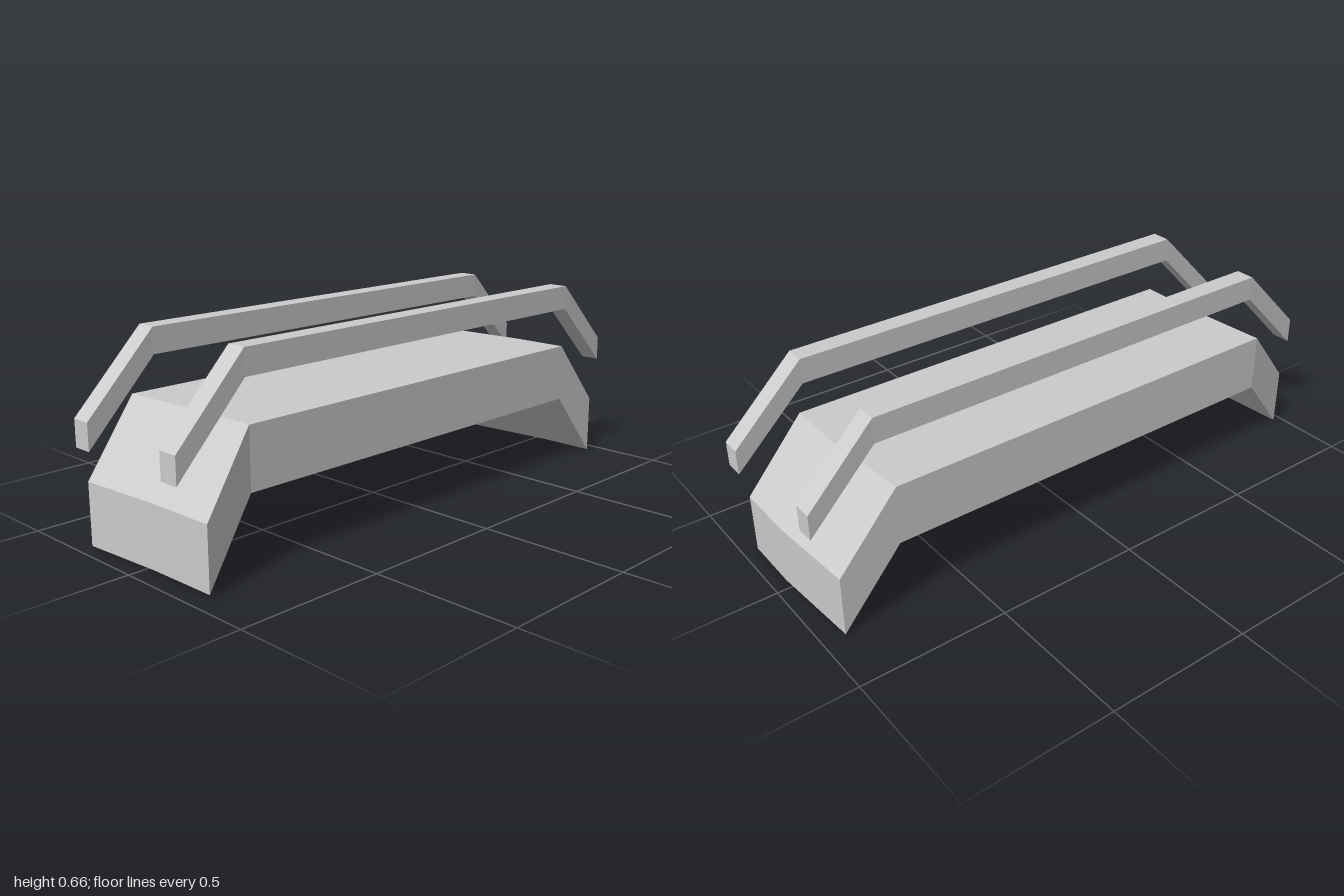
import * as THREE from 'three';

// Sweeps a strip along x. Each section is a list of columns running front to back,
// each column being [x, z, bottomY, topY].
function loft(name, sections, material) {
  const pos = [];
  const quad = (a, b, c, d) => [a, b, c, a, c, d].forEach(p => pos.push(...p));
  const rings = sections.map(cols => [
    ...cols.map(([x, z, , top]) => [x, top, z]),
    ...cols.slice().reverse().map(([x, z, bottom]) => [x, bottom, z]),
  ]);
  const n = rings[0].length;
  for (let i = 0; i < rings.length - 1; i++) {
    for (let j = 0; j < n; j++) {
      const k = (j + 1) % n;
      quad(rings[i][j], rings[i + 1][j], rings[i + 1][k], rings[i][k]);
    }
  }
  // end faces
  const first = rings[0], last = rings[rings.length - 1];
  for (let k = 0; k < n / 2 - 1; k++) {
    quad(first[k], first[k + 1], first[n - 2 - k], first[n - 1 - k]);
    quad(last[n - 1 - k], last[n - 2 - k], last[k + 1], last[k]);
  }
  const geometry = new THREE.BufferGeometry();
  geometry.setAttribute('position', new THREE.Float32BufferAttribute(pos, 3));
  geometry.computeVertexNormals();
  const mesh = new THREE.Mesh(geometry, material);
  mesh.name = name;
  return mesh;
}

export function createModel() {
  const model = new THREE.Group();
  model.name = 'bridge';
  const grey = new THREE.MeshStandardMaterial({ color: 0xcccccc, flatShading: true });

  // deck: flat span with a sloping ramp at each end, slightly skewed
  const deckSection = (y0, y1, points) => points.map(([x, z]) => [x, z, y0, y1]);
  model.add(loft('deck', [
    deckSection(0.008, 0.212, [[-0.935, 0.29], [-0.94, 0.04], [-0.96, -0.25]]),
    deckSection(0.24, 0.44, [[-0.74, 0.24], [-0.74, 0.04], [-0.763, -0.29]]),
    deckSection(0.24, 0.44, [[0.748, 0.24], [0.748, 0.04], [0.72, -0.29]]),
    deckSection(0, 0.205, [[0.95, 0.24], [0.95, 0.04], [0.925, -0.29]]),
  ], grey));

  // handrails: each section is [x, front z, back z, bottom y, top y]
  const rail = (name, rows) => model.add(loft(name,
    rows.map(([x, zf, zb, y0, y1]) => [[x, zf, y0, y1], [x, zb, y0, y1]]), grey));
  rail('frontRail', [
    [-1, 0.25, 0.18, 0.323, 0.41],
    [-0.752, 0.243, 0.175, 0.578, 0.662],
    [0.755, 0.243, 0.175, 0.578, 0.662],
    [1, 0.232, 0.165, 0.352, 0.435],
  ]);
  rail('backRail', [
    [-1, -0.169, -0.237, 0.33, 0.418],
    [-0.752, -0.181, -0.248, 0.578, 0.662],
    [0.755, -0.181, -0.248, 0.578, 0.662],
    [0.985, -0.195, -0.26, 0.355, 0.438],
  ]);
  return model;
}
